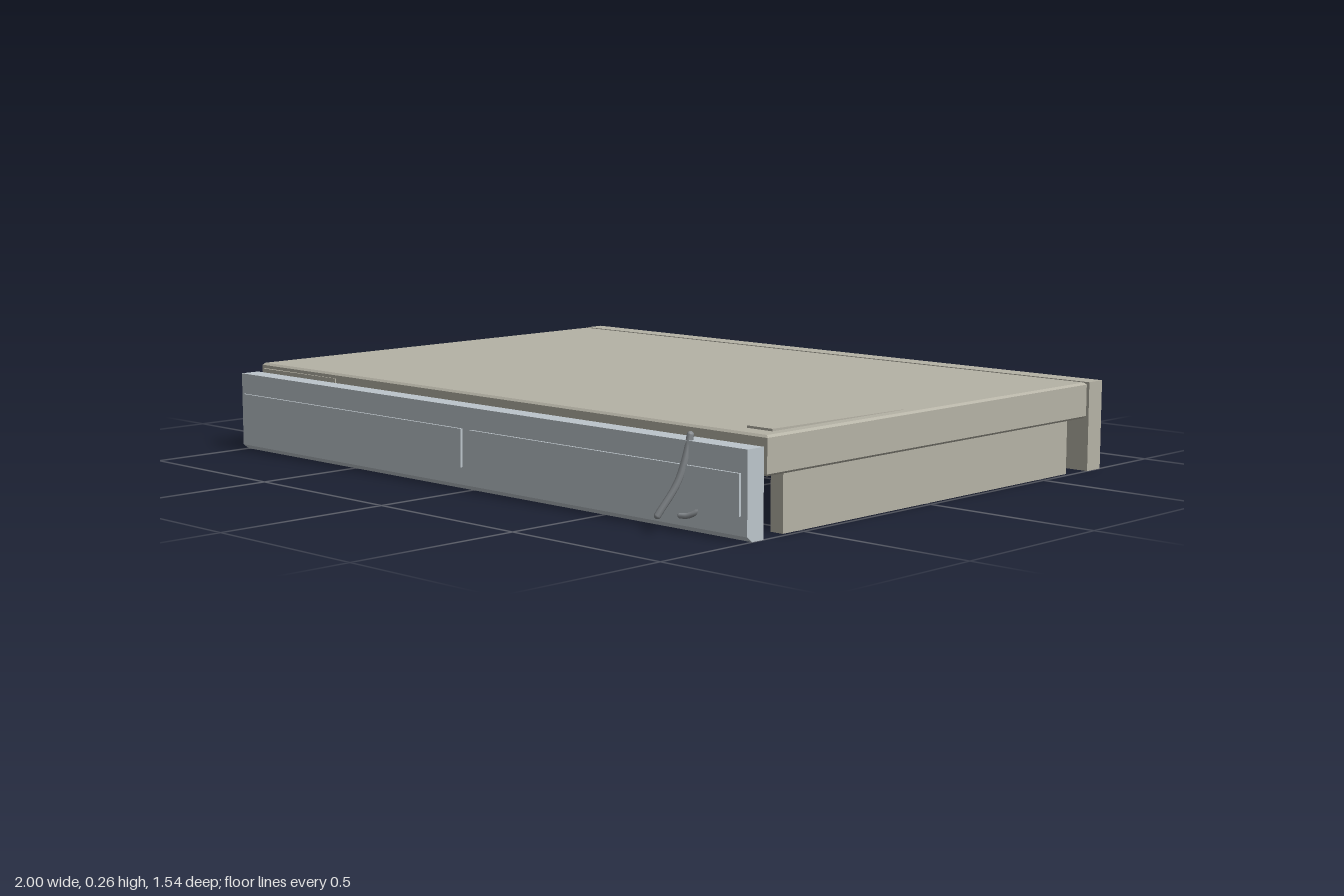
import * as THREE from 'three';

const taupe = new THREE.MeshStandardMaterial({ color: 0xb5b2a5 });
taupe.name = 'taupe board';
const paleBlue = new THREE.MeshStandardMaterial({ color: 0xbcc5cb });
paleBlue.name = 'pale blue grey';
const grey = new THREE.MeshStandardMaterial({ color: 0x858a8e });
grey.name = 'hook grey';

export function createModel() {
  const model = new THREE.Group();
  model.name = 'platform';

  const add = (name, geometry, material) => {
    const mesh = new THREE.Mesh(geometry, material);
    mesh.name = name;
    model.add(mesh);
    return mesh;
  };
  // Box given by its minimum and maximum corners
  const block = (name, a, b, material) => {
    const mesh = add(name, new THREE.BoxGeometry(b[0] - a[0], b[1] - a[1], b[2] - a[2]), material);
    mesh.position.set((a[0] + b[0]) / 2, (a[1] + b[1]) / 2, (a[2] + b[2]) / 2);
    return mesh;
  };
  // Profile of [z, y] points swept along x over the full width
  const sweep = (name, points, x0, x1, material) => {
    const shape = new THREE.Shape(points.map(([z, y]) => new THREE.Vector2(-z, y)));
    const geometry = new THREE.ExtrudeGeometry(shape, { depth: x1 - x0, bevelEnabled: false });
    geometry.rotateY(Math.PI / 2).translate(x0, 0, 0);
    return add(name, geometry, material);
  };

  // Deck slab with a fine chamfer on every edge
  const c = 0.006;
  const w = 0.997, zBack = -0.7, zFront = 0.632;
  const outline = new THREE.Shape([
    new THREE.Vector2(-w + c, -zFront + c), new THREE.Vector2(w - c, -zFront + c),
    new THREE.Vector2(w - c, -zBack - c), new THREE.Vector2(-w + c, -zBack - c),
  ]);
  const slab = new THREE.ExtrudeGeometry(outline, {
    depth: 0.1 - 2 * c, bevelSize: c, bevelThickness: c, bevelSegments: 1,
  });
  slab.rotateX(-Math.PI / 2).translate(0, 0.15 + c, 0);
  add('deckSlab', slab, taupe);

  // Rear board and the three rails carrying the deck
  block('rearBoard', [-1, 0, -0.77], [1, 0.25, -0.708], taupe);
  for (const [name, x] of [['leftRail', 0.965], ['middleRail', 0], ['rightRail', -0.965]]) {
    block(name, [x - 0.02, 0, -0.627], [x + 0.02, 0.152, 0.56], taupe);
  }

  // Front board with its lower front edge cut back
  sweep('frontBoard', [
    [0.647, 0], [0.647, 0.225], [0.705, 0.225], [0.705, 0.014], [0.687, 0],
  ], -1, 1, paleBlue);
  // Two raised panels
  block('rightPanel', [-0.985, 0.062, 0.703], [-0.02, 0.166, 0.712], paleBlue);
  block('leftPanel', [0.015, 0.062, 0.703], [0.98, 0.166, 0.712], paleBlue);

  // Thin sheets lying on the deck and against its front edge
  sweep('deckSheet', [
    [0.575, 0.248], [0.07, 0.248], [0.07, 0.251], [0.575, 0.256],
  ], 0.88, 0.962, taupe);
  const wedge = new THREE.Shape([
    new THREE.Vector2(-0.985, -0.63), new THREE.Vector2(-0.985, -0.641),
    new THREE.Vector2(-0.65, -0.635), new THREE.Vector2(-0.65, -0.63),
  ]);
  const edgeSheet = new THREE.ExtrudeGeometry(wedge, { depth: 0.07, bevelEnabled: false });
  edgeSheet.rotateX(-Math.PI / 2).translate(0, 0.165, 0);
  add('edgeSheet', edgeSheet, taupe);

  // Bent hook hanging over the front board, with a short curled prong
  const rod = (name, points, radius) => {
    const curve = new THREE.CatmullRomCurve3(points.map((p) => new THREE.Vector3(...p)));
    add(name, new THREE.TubeGeometry(curve, 16, radius, 8), grey);
    for (const p of [points[0], points[points.length - 1]]) {
      add(name + 'End', new THREE.SphereGeometry(radius, 8, 6), grey).position.set(...p);
    }
  };
  rod('hookStem', [
    [0.803, 0.238, 0.693], [0.8, 0.19, 0.704], [0.787, 0.12, 0.723], [0.757, 0.042, 0.76],
  ], 0.009);
  rod('hookProng', [
    [0.79, 0.04, 0.715], [0.812, 0.042, 0.711], [0.836, 0.058, 0.7], [0.83, 0.13, 0.641],
  ], 0.007);

  return model;
}
